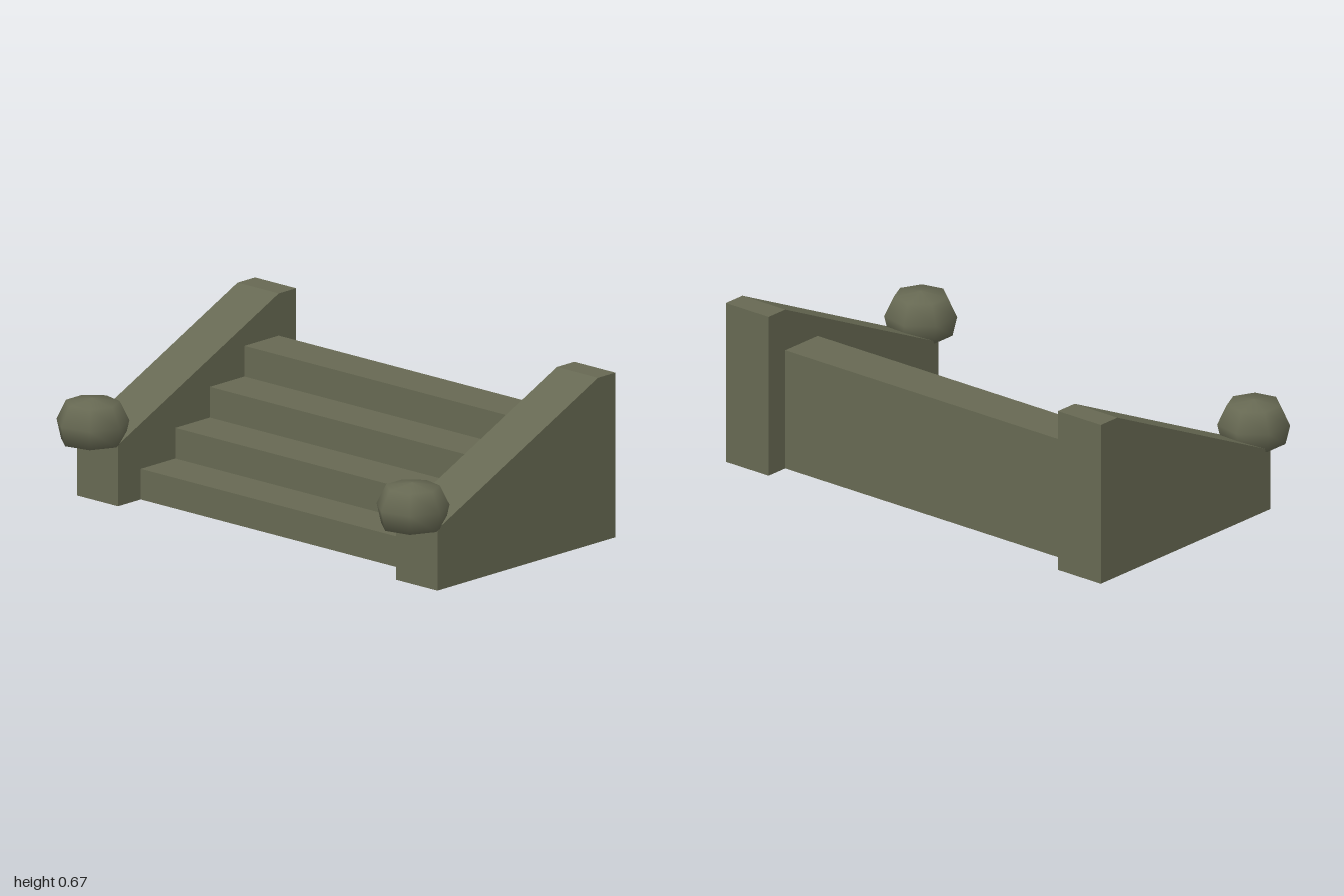
import * as THREE from 'three';

const stone = new THREE.MeshStandardMaterial({ color: 0x666852 });
stone.name = 'mossy stone';

// Extrude a (z, y) side profile across the width from xMin to xMax
function slab(name, profile, xMin, xMax) {
  const shape = new THREE.Shape(profile.map(([z, y]) => new THREE.Vector2(z, y)));
  const geometry = new THREE.ExtrudeGeometry(shape, { depth: xMax - xMin, bevelEnabled: false });
  geometry.rotateY(-Math.PI / 2).translate(xMax, 0, 0);
  const mesh = new THREE.Mesh(geometry, stone);
  mesh.name = name;
  return mesh;
}

// Squat seven-sided boulder with smooth shading
function boulder(name, x) {
  const profile = [[0, 0.24], [0.128, 0.25], [0.147, 0.33], [0.108, 0.41], [0, 0.428]]
    .map(([r, y]) => new THREE.Vector2(r, y));
  const mesh = new THREE.Mesh(new THREE.LatheGeometry(profile, 7, Math.PI / 2), stone);
  mesh.name = name;
  mesh.position.set(x, 0, 0.45);
  return mesh;
}

export function createModel() {
  const group = new THREE.Group();
  group.name = 'stone staircase';

  // Four steps as one solid flight
  const rise = 0.125, run = 0.198, front = 0.29, back = -0.5;
  const steps = [[back, 0], [front, 0]];
  for (let i = 0; i < 4; i++) {
    steps.push([front - i * run, (i + 1) * rise]);
    steps.push([i < 3 ? front - (i + 1) * run : back, (i + 1) * rise]);
  }
  group.add(slab('steps', steps, -0.757, 0.738));

  // Sloping side walls
  const wall = [[-0.6, 0], [0.42, 0], [0.42, 0.25], [-0.5, 0.672], [-0.6, 0.672]];
  group.add(slab('rightWall', wall, -0.978, -0.757));
  group.add(slab('leftWall', wall, 0.738, 0.959));

  // Boulders at the front ends of the walls
  group.add(boulder('rightBoulder', -0.867), boulder('leftBoulder', 0.853));

  return group;
}
